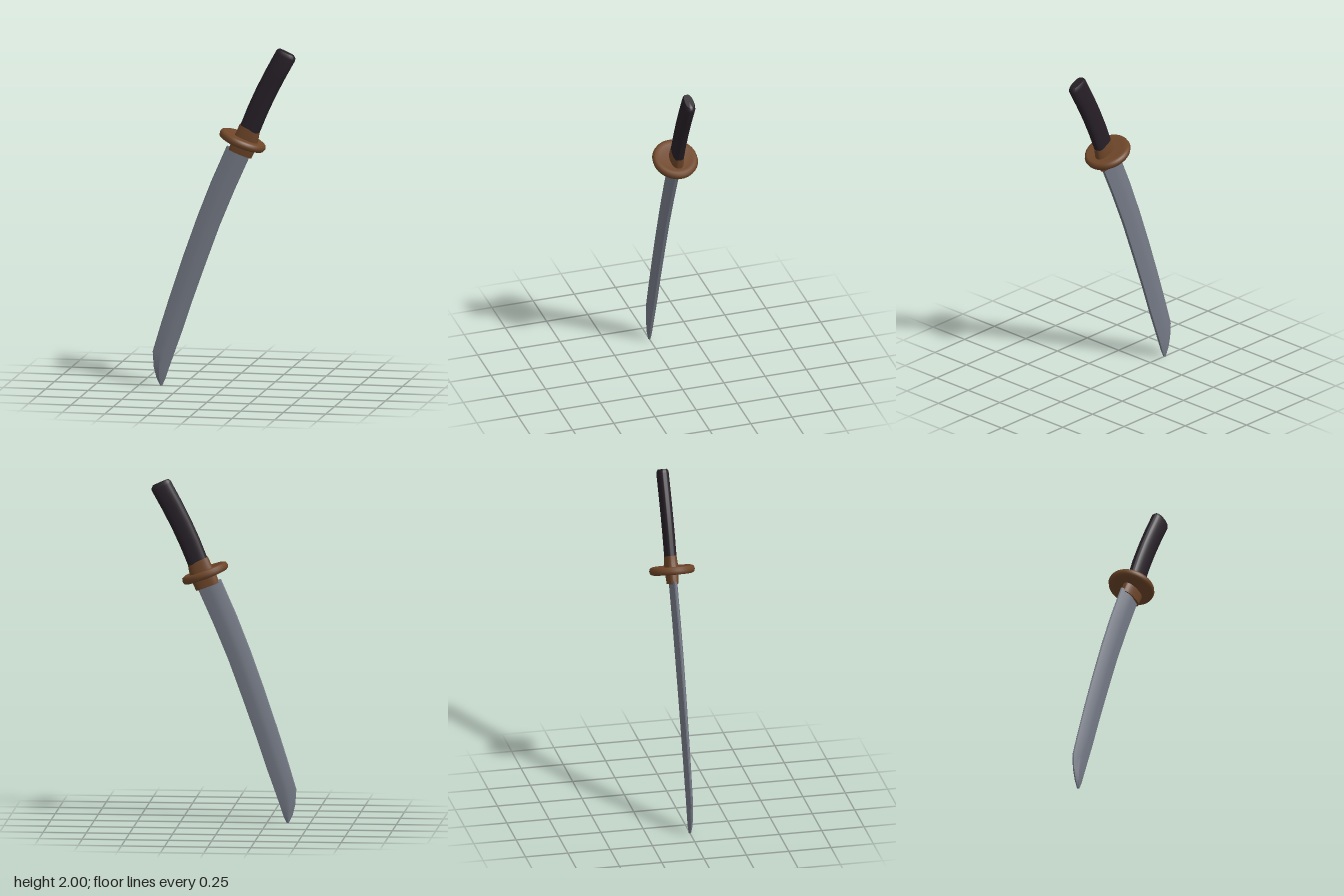
import * as THREE from 'three';
import { toCreasedNormals } from 'three/addons/utils/BufferGeometryUtils.js';

const mat = (color) => new THREE.MeshStandardMaterial({ color });

// Skin a section along stations [leftX, leftY, rightX, rightY, halfThickness], bottom to top.
// Section points are [across 0..1, depth -1..1].
function loft(stations, section, crease) {
  const n = section.length, pos = [], idx = [];
  for (const [lx, ly, rx, ry, t] of stations)
    for (const [u, w] of section) pos.push(lx + (rx - lx) * u, ly + (ry - ly) * u, w * t);
  for (let i = 0; i < stations.length - 1; i++)
    for (let j = 0; j < n; j++) {
      const a = i * n + j, b = i * n + (j + 1) % n;
      idx.push(a, b, b + n, a, b + n, a + n);
    }
  // end caps
  const last = stations.length - 1;
  for (const k of [0, last]) {
    const [lx, ly, rx, ry] = stations[k], c = pos.length / 3;
    pos.push((lx + rx) / 2, (ly + ry) / 2, 0);
    for (let j = 0; j < n; j++) {
      const a = k * n + j, b = k * n + (j + 1) % n;
      if (k) idx.push(c, a, b); else idx.push(c, b, a);
    }
  }
  const g = new THREE.BufferGeometry();
  g.setAttribute('position', new THREE.Float32BufferAttribute(pos, 3));
  g.setIndex(idx);
  return toCreasedNormals(g, crease);
}

// Rounded oval section
function oval(n, power) {
  const f = (v) => Math.sign(v) * Math.abs(v) ** power;
  return Array.from({ length: n }, (_, i) => {
    const a = (i / n) * Math.PI * 2;
    return [0.5 + 0.5 * f(Math.cos(a)), -f(Math.sin(a))];
  });
}

export function createModel() {
  const group = new THREE.Group();
  const add = (name, geometry, material) => {
    const mesh = new THREE.Mesh(geometry, material);
    mesh.name = name;
    group.add(mesh);
    return mesh;
  };
  const steel = mat(0x767b87), bronze = mat(0x6e4629), wrap = mat(0x272027);

  // Curved blade: cutting edge on the left, ridge, and narrow spine on the right
  const bladeSection = [[1, 0.45], [1, -0.45], [0.6, -1], [0.38, -1], [0.03, -0.3],
    [0, 0], [0.03, 0.3], [0.38, 1], [0.6, 1]];
  add('blade', loft([
    [-0.378, 0.004, -0.365, 0.002, 0.007],
    [-0.4, 0.05, -0.348, 0.04, 0.013],
    [-0.415, 0.11, -0.328, 0.1, 0.016],
    [-0.421, 0.2, -0.3, 0.18, 0.018],
    [-0.375, 0.355, -0.25, 0.32, 0.019],
    [-0.315, 0.545, -0.19, 0.5, 0.02],
    [-0.24, 0.77, -0.112, 0.72, 0.021],
    [-0.158, 1.0, -0.028, 0.95, 0.022],
    [-0.076, 1.21, 0.059, 1.16, 0.022],
    [0.016, 1.42, 0.153, 1.37, 0.022],
  ], bladeSection, 0.35), steel);

  // Collar on both sides of the guard
  add('collar', loft([
    [0.026, 1.4, 0.16, 1.35, 0.03],
    [0.048, 1.46, 0.188, 1.41, 0.036],
    [0.07, 1.5, 0.2, 1.455, 0.037],
    [0.092, 1.55, 0.208, 1.5, 0.033],
  ], oval(32, 0.85), 0.7), bronze);

  // Round guard with a soft rim and slightly dished faces
  const profile = [[0, -0.016], [0.07, -0.016], [0.1, -0.021], [0.122, -0.023], [0.135, -0.017],
    [0.141, 0], [0.135, 0.017], [0.122, 0.023], [0.1, 0.021], [0.07, 0.016], [0, 0.016]];
  const guard = add('guard',
    new THREE.LatheGeometry(profile.map(([x, y]) => new THREE.Vector2(x, y)), 48), bronze);
  guard.position.set(0.108, 1.454, 0);
  guard.rotation.z = -0.37;
  guard.scale.z = 0.94;

  // Slightly bowed grip with a rounded pommel end
  add('grip', loft([
    [0.094, 1.54, 0.204, 1.492, 0.033],
    [0.14, 1.655, 0.252, 1.608, 0.033],
    [0.19, 1.765, 0.302, 1.716, 0.033],
    [0.243, 1.87, 0.356, 1.82, 0.033],
    [0.303, 1.98, 0.417, 1.93, 0.033],
    [0.309, 1.991, 0.418, 1.943, 0.031],
    [0.321, 1.999, 0.411, 1.959, 0.025],
  ], oval(36, 0.8), 0.75), wrap);

  return group;
}
